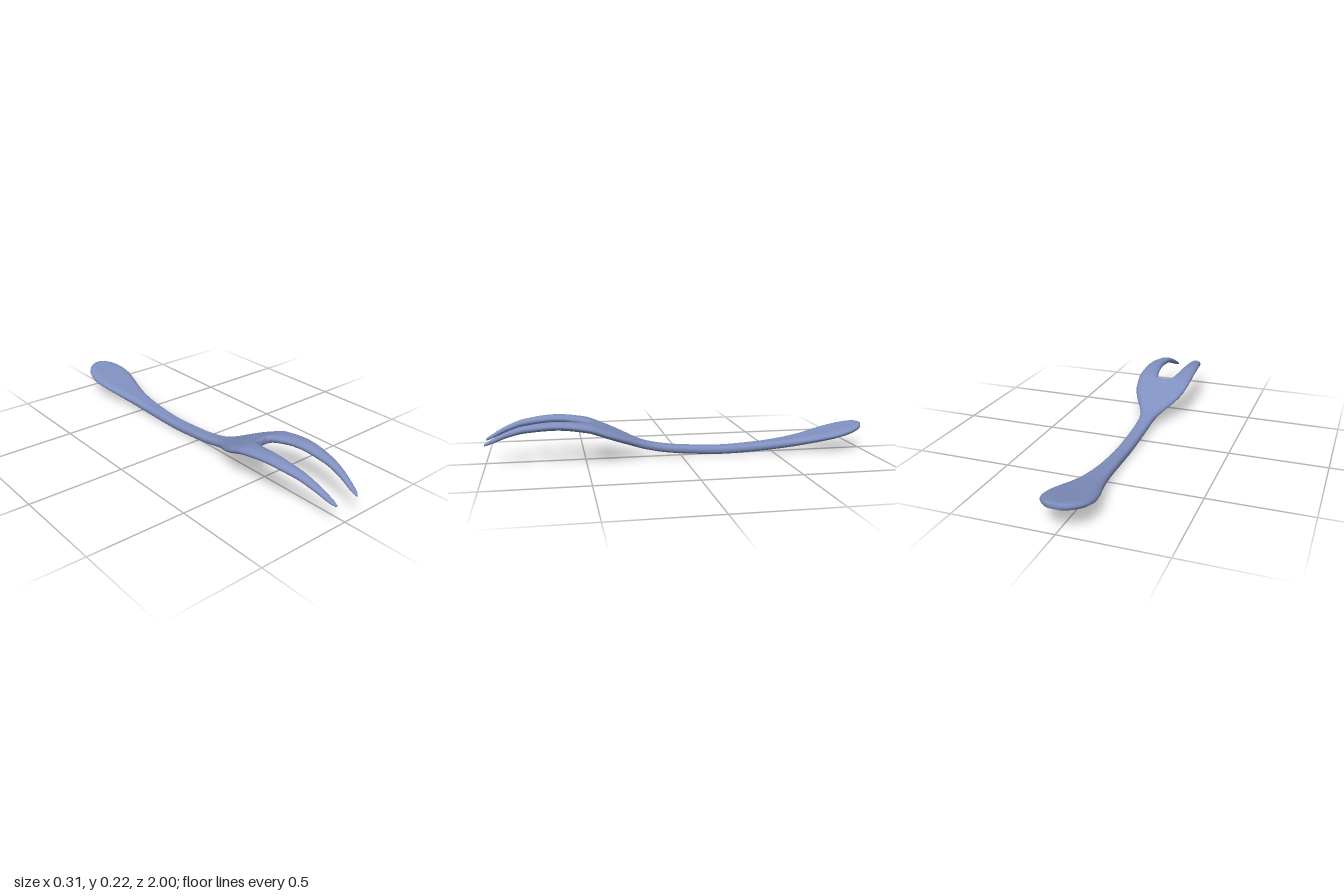
import * as THREE from 'three';
import { mergeVertices } from 'three/addons/utils/BufferGeometryUtils.js';

const CROTCH = 0.46; // z where the head splits into two prongs

// Profiles along the length: [z, value]
const centreY = [[-1, 0.132], [-0.8, 0.086], [-0.6, 0.049], [-0.4, 0.029], [-0.22, 0.022], [0, 0.034],
  [0.1, 0.046], [0.2, 0.068], [0.3, 0.108], [0.4, 0.149], [0.5, 0.184], [0.65, 0.201], [0.8, 0.188],
  [0.9, 0.158], [0.96, 0.129], [1, 0.11]];
const halfThick = [[-1, 0.012], [-0.985, 0.017], [-0.95, 0.019], [-0.4, 0.022], [0.2, 0.02], [0.4, 0.021],
  [0.65, 0.02], [0.8, 0.018], [0.92, 0.014], [0.98, 0.009], [1, 0.005]];
const outerX = [[-1, 0.025], [-0.985, 0.055], [-0.95, 0.088], [-0.9, 0.109], [-0.84, 0.114], [-0.75, 0.1],
  [-0.65, 0.075], [-0.55, 0.056], [-0.4, 0.042], [-0.2, 0.036], [0, 0.036], [0.14, 0.039], [0.2, 0.049],
  [0.25, 0.072], [0.3, 0.101], [0.35, 0.126], [0.4, 0.142], [0.5, 0.154], [0.6, 0.152], [0.7, 0.144],
  [0.8, 0.127], [0.9, 0.106], [0.97, 0.087], [0.99, 0.079], [1, 0.07]];
const innerX = [[-1, 0], [CROTCH, 0], [0.463, 0.018], [0.468, 0.029], [0.476, 0.037], [0.49, 0.043],
  [0.52, 0.05], [0.6, 0.063], [0.7, 0.07], [0.8, 0.071], [0.9, 0.066], [0.98, 0.059], [1, 0.062]];

// Smooth interpolation without overshoot
function sample(table, z) {
  const n = table.length - 1;
  let i = 0;
  while (i < n - 1 && z > table[i + 1][0]) i++;
  const slope = k => (table[k + 1][1] - table[k][1]) / (table[k + 1][0] - table[k][0]);
  const tangent = k => {
    if (k === 0) return slope(0);
    if (k === n) return slope(n - 1);
    const a = slope(k - 1), b = slope(k);
    return a * b <= 0 ? 0 : 2 * a * b / (a + b);
  };
  const [z0, v0] = table[i], [z1, v1] = table[i + 1];
  const d = z1 - z0, t = (z - z0) / d, t2 = t * t, t3 = t2 * t;
  return v0 * (2 * t3 - 3 * t2 + 1) + v1 * (3 * t2 - 2 * t3)
    + d * (tangent(i) * (t3 - 2 * t2 + t) + tangent(i + 1) * (t3 - t2));
}

// One half section: top face, outer edge, bottom face, inner edge
const FLAT = 5, ARC = 8;
function section(z, thickness) {
  const y = sample(centreY, z), h = sample(halfThick, z) * thickness;
  const outer = sample(outerX, z), inner = sample(innerX, z), w = outer - inner;
  const ro = Math.min(0.04, w * 0.45), ri = Math.min(w * 0.4, inner * 0.6);
  const x0 = inner + ri, x1 = outer - ro;
  const bulge = 0.012 * Math.max(0, 1 - inner / 0.04);
  const pts = [];
  for (let k = 0; k < FLAT; k++) pts.push([x0 + (x1 - x0) * k / FLAT, y + h, z]);
  for (let k = 0; k <= ARC; k++) {
    const a = Math.PI * (0.5 - k / ARC);
    pts.push([x1 + ro * Math.cos(a), y + h * Math.sin(a), z]);
  }
  for (let k = 1; k <= FLAT; k++) pts.push([x1 + (x0 - x1) * k / FLAT, y - h, z]);
  for (let k = 1; k < ARC; k++) {
    const a = Math.PI * (0.5 - k / ARC);
    pts.push([x0 - ri * Math.cos(a), y - h * Math.sin(a), z + bulge * Math.cos(a)]);
  }
  return pts;
}

function forkGeometry() {
  // Stations, closer together at the ends and around the crotch
  const stations = [-1, -0.995, -0.985, -0.97, -0.95, -0.925];
  for (let z = -0.9; z < 0.445; z += 0.025) stations.push(z);
  stations.push(0.45, CROTCH, 0.4615, 0.463, 0.465, 0.468, 0.472, 0.477, 0.484, 0.492, 0.505);
  for (let z = 0.525; z < 0.96; z += 0.025) stations.push(z);
  stations.push(0.97, 0.98, 0.99, 0.996, 1);

  // Flattened sections close both ends
  const rows = [section(-1, 0), ...stations.map(z => section(z, 1)), section(1, 0)];
  const size = rows[0].length, openEnd = 2 * FLAT + ARC;
  const positions = [], indices = [];
  for (const side of [1, -1]) {
    const base = positions.length / 3;
    for (const row of rows) for (const [x, y, z] of row) positions.push(side * x, y, z);
    for (let i = 0; i < rows.length - 1; i++) {
      // The inner edge exists only on the prongs
      const count = rows[i][0][2] >= CROTCH ? size : openEnd;
      for (let j = 0; j < count; j++) {
        const a = base + i * size + j, b = base + i * size + (j + 1) % size;
        const c = a + size, d = b + size;
        if (side > 0) indices.push(a, c, b, b, c, d);
        else indices.push(a, b, c, b, d, c);
      }
    }
  }
  const geometry = new THREE.BufferGeometry();
  geometry.setAttribute('position', new THREE.Float32BufferAttribute(positions, 3));
  geometry.setIndex(indices);
  const merged = mergeVertices(geometry, 1e-4);
  merged.computeVertexNormals();
  return merged;
}

export function createModel() {
  const group = new THREE.Group();
  group.name = 'fork';
  const blue = new THREE.MeshStandardMaterial({ color: 0x8090c0 });
  blue.name = 'slate blue';
  // Handle, head and both prongs form one seamless body
  const body = new THREE.Mesh(forkGeometry(), blue);
  body.name = 'handleAndProngs';
  group.add(body);
  return group;
}
